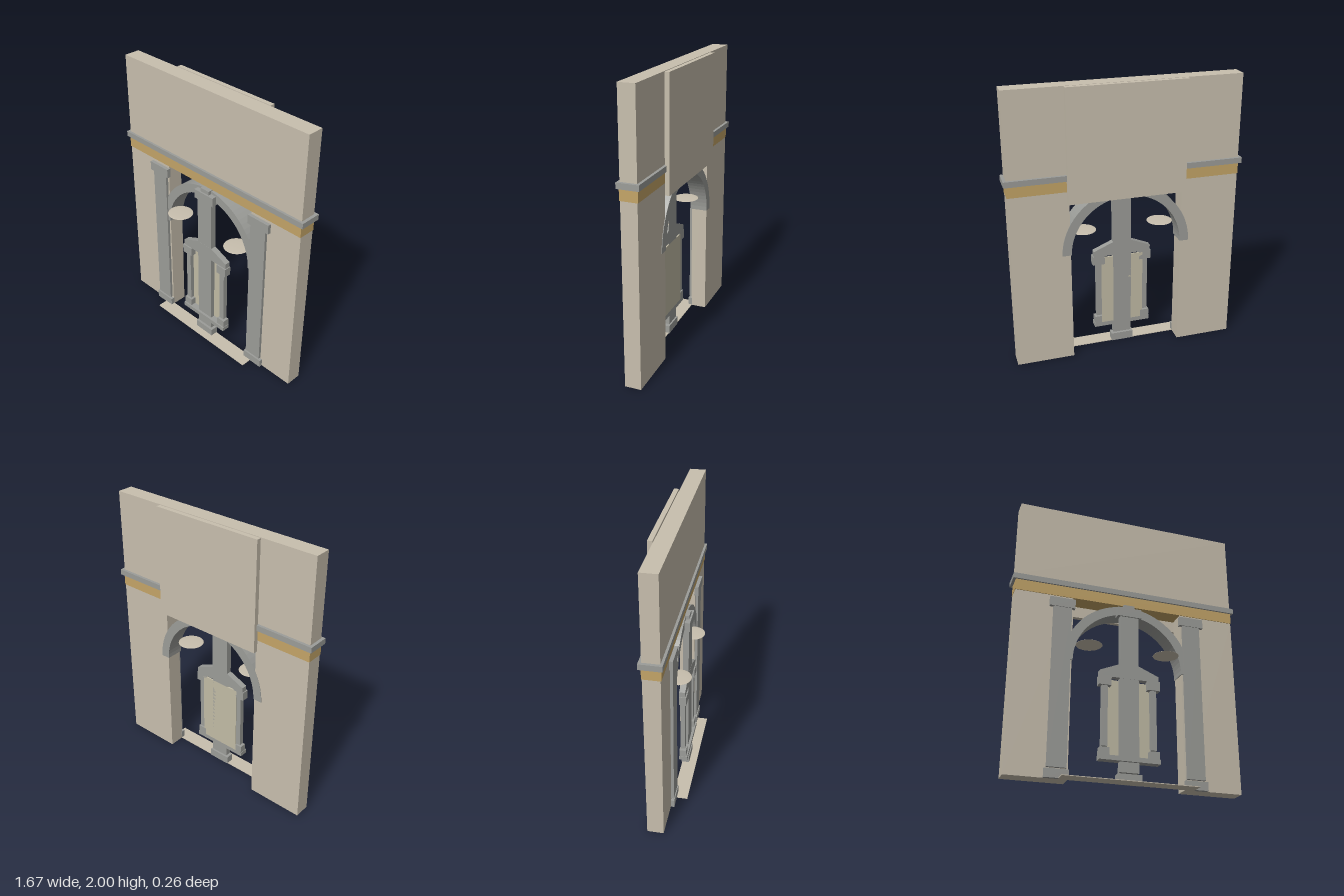
import * as THREE from 'three';

const mat = (color) => new THREE.MeshStandardMaterial({ color });

export function createModel() {
  const group = new THREE.Group();
  const wall = mat(0xc8bfae), stone = mat(0x9c9d99), gold = mat(0xc4a568), door = mat(0xc2bca6);

  const add = (name, geometry, material) => {
    const mesh = new THREE.Mesh(geometry, material);
    mesh.name = name;
    group.add(mesh);
    return mesh;
  };
  // box given by its limits on each axis
  const box = (name, x0, x1, y0, y1, z0, z1, material) =>
    add(name, new THREE.BoxGeometry(x1 - x0, y1 - y0, z1 - z0), material)
      .position.set((x0 + x1) / 2, (y0 + y1) / 2, (z0 + z1) / 2);
  // the same box on both sides
  const pair = (name, x0, x1, ...rest) => {
    box(name + 'Left', x0, x1, ...rest);
    box(name + 'Right', -x1, -x0, ...rest);
  };
  const extrude = (name, shape, z0, z1, material) => {
    const geometry = new THREE.ExtrudeGeometry(shape, { depth: z1 - z0, bevelEnabled: false, curveSegments: 20 });
    add(name, geometry.translate(0, 0, z0), material);
  };

  // wall, frieze, cornice and rear panel
  pair('pier', 0.4, 0.812, 0, 1.29, -0.09, 0.025, wall);
  box('frieze', -0.814, 0.814, 1.29, 1.37, -0.094, 0.03, gold);
  box('cornice', -0.833, 0.833, 1.37, 1.41, -0.11, 0.042, stone);
  box('upperWall', -0.812, 0.812, 1.41, 2, -0.09, 0.025, wall);
  box('rearPanel', -0.415, 0.415, 1.21, 2, -0.13, -0.097, wall);
  box('threshold', -0.463, 0.463, 0, 0.005, 0.02, 0.127, wall);

  // round arch running through the wall
  const arch = new THREE.Shape();
  arch.absarc(0, 0.82, 0.46, 0, Math.PI, false);
  arch.absarc(0, 0.82, 0.395, Math.PI, 0, true);
  arch.closePath();
  extrude('arch', arch, -0.094, 0.035, stone);
  box('keystone', -0.04, 0.04, 1.255, 1.285, 0.02, 0.06, stone);

  // side pilasters
  pair('pilasterShaft', 0.413, 0.543, 0.07, 1.2, 0.02, 0.045, stone);
  pair('pilasterCapital', 0.39, 0.57, 1.2, 1.268, 0.02, 0.05, stone);
  pair('pilasterBase', 0.398, 0.558, 0, 0.06, 0.02, 0.05, stone);

  // central pillar
  box('pillarShaft', -0.067, 0.067, 0.07, 1.19, 0.02, 0.062, stone);
  box('pillarCapital', -0.088, 0.088, 1.19, 1.257, 0.015, 0.072, stone);
  box('pillarFoot', -0.082, 0.082, 0, 0.06, 0.015, 0.072, stone);

  // niche: sloped canopy, shelf, small columns and back board
  const canopy = new THREE.Shape([
    [-0.21, 0.72], [0.21, 0.72], [0.21, 0.762], [0.067, 0.822], [-0.067, 0.822], [-0.21, 0.762],
  ].map(([x, y]) => new THREE.Vector2(x, y)));
  extrude('canopy', canopy, 0.02, 0.063, stone);
  box('shelf', -0.21, 0.21, 0.14, 0.172, 0.02, 0.08, stone);
  box('nicheBoard', -0.155, 0.155, 0.172, 0.71, 0.02, 0.03, door);
  pair('columnShaft', 0.152, 0.193, 0.235, 0.655, 0.025, 0.06, stone);
  pair('columnCapital', 0.13, 0.217, 0.655, 0.722, 0.02, 0.072, stone);
  pair('columnBase', 0.14, 0.207, 0.172, 0.226, 0.02, 0.07, stone);

  // flat hanging discs
  for (const side of [1, -1]) {
    const disc = add(side > 0 ? 'discLeft' : 'discRight', new THREE.SphereGeometry(0.092, 32, 16), wall);
    disc.scale.y = 0.05;
    disc.position.set(side * 0.282, 0.945, 0.03);
  }
  return group;
}
